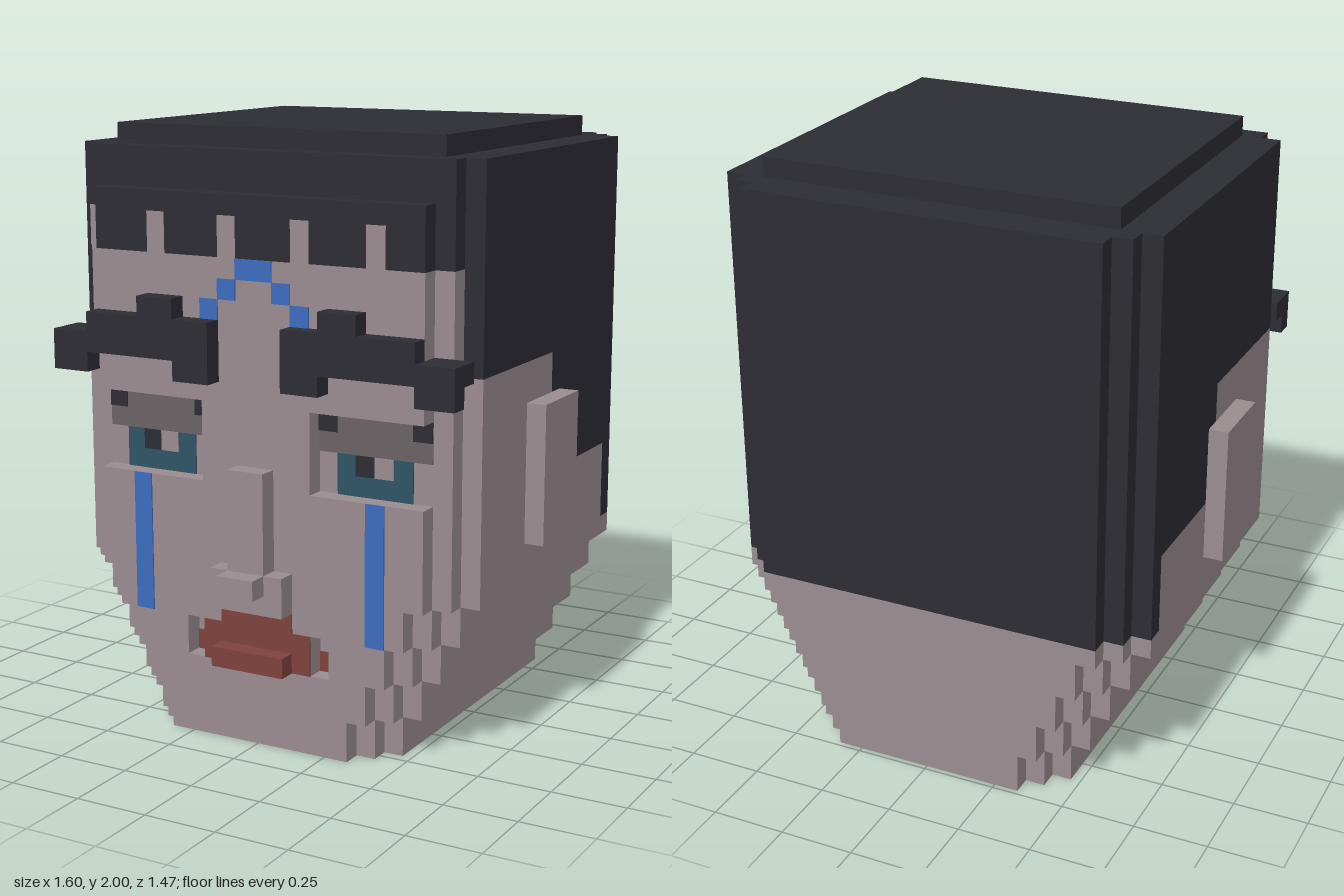
import * as THREE from 'three';

const U = 1 / 15; // one block
const T = 0.07;   // thickness of painted plates, in blocks

const paint = (name, color) => {
  const m = new THREE.MeshStandardMaterial({ color });
  m.name = name;
  return m;
};

export function createModel() {
  const skin = paint('skin', 0x998c90);
  const hair = paint('hair', 0x2c2c34);
  const lid = paint('eyelid', 0x6b6265);
  const iris = paint('iris', 0x2f5366);
  const blue = paint('blue', 0x3c6cbe);
  const lips = paint('lips', 0x7e423d);

  const root = new THREE.Group();
  root.name = 'blockHead';
  const groups = {};
  const part = (name) => {
    if (!groups[name]) {
      groups[name] = new THREE.Group();
      groups[name].name = name;
      root.add(groups[name]);
    }
    return groups[name];
  };

  // Box given by its limits in blocks
  const box = (name, mat, x0, x1, y0, y1, z0, z1) => {
    const g = new THREE.BoxGeometry((x1 - x0) * U, (y1 - y0) * U, (z1 - z0) * U);
    const m = new THREE.Mesh(g, mat);
    m.position.set((x0 + x1) / 2 * U, (y0 + y1) / 2 * U, (z0 + z1) / 2 * U);
    m.name = name;
    part(name).add(m);
  };
  const pair = (name, mat, x0, x1, ...rest) => {
    box(name, mat, x0, x1, ...rest);
    box(name, mat, -x1, -x0, ...rest);
  };
  // Thin painted plate on a front-facing plane
  const plate = (name, mat, x0, x1, y0, y1, z, lift = 1) =>
    box(name, mat, x0, x1, y0, y1, z, z + T * lift);

  // Jaw: layers that widen upwards, with stepped corners
  for (let i = 0; i < 4; i++) {
    const h = 7 + i, y = i * 2;
    box('jaw', skin, -h, h, y, y + 2, -9, 7);
    box('jaw', skin, 1 - h, h - 1, y, y + 2, -10, -9);
    box('jaw', skin, 1 - h, h - 1, y, y + 2, 7, 8);
    box('jaw', skin, 2 - h, h - 2, y, y + 2, -11, -10);
    if (i === 2) { // mouth row has sunken corners
      box('jaw', skin, -3, 3, y, y + 2, 8, 9);
      pair('jaw', skin, 4, 7, y, y + 2, 8, 9);
    } else box('jaw', skin, 2 - h, h - 2, y, y + 2, 8, 9);
  }

  // Upper head in slices from back to front: z0, z1, half width, hairline
  for (const [z0, z1, w, line] of [
    [-11, -10, 9, 9], [-10, -9, 10, 9], [-9, -8, 11, 9],
    [-8, -2, 11, 13], [-2, -1, 11, 17], [-1, 7, 11, 19], [7, 8, 10, 24],
  ]) {
    box('head', skin, -w, w, 8, line, z0, z1);
    box('hair', hair, -w, w, line, 29, z0, z1);
  }
  box('hair', hair, -9, 9, 29, 30, -9, 7);
  plate('temple', skin, -10, -9, 24, 26, 8);

  // Face slab with open eye sockets
  box('face', skin, -9, 9, 8, 13, 8, 9);
  box('face', skin, -3, 3, 13, 17, 8, 9);
  box('face', skin, -9, 9, 17, 24, 8, 9);

  // Fringe with narrow gaps
  box('fringe', hair, -9, 9, 26, 27, 8, 9);
  const gaps = [-6, -2, 2, 6];
  let start = -9;
  for (const g of gaps) {
    box('fringe', hair, start, g, 24, 26, 8, 9);
    box('face', skin, g, g + 1, 24, 26, 8, 9);
    start = g + 1;
  }
  box('fringe', hair, start, 9, 24, 26, 8, 9);

  // Ears
  pair('ears', skin, 11, 12, 10, 17, -2, 2);

  // Eyebrows
  pair('eyebrows', hair, 2, 9, 19, 21, 9, 10);
  pair('eyebrows', hair, 4, 6, 21, 22, 9, 10);
  pair('eyebrows', hair, 2, 4, 18, 19, 9, 10);
  pair('eyebrows', hair, 9, 11, 19, 20, 8, 10);
  pair('eyebrows', hair, 9, 11, 18, 19, 9, 10);

  // Eyes; both look the same way
  for (const [x, pupil] of [[-9, -7], [3, 5]]) {
    plate('eyelids', lid, x, x + 6, 15, 17, 8);
    plate('lashes', hair, x, x + 1, 16, 17, 8, 1.8);
    plate('lashes', hair, x + 5, x + 6, 16, 17, 8, 1.8);
    plate('irises', iris, x + 1, x + 5, 13, 15, 8);
    plate('pupils', hair, pupil, pupil + 1, 14, 15, 8, 1.8);
    plate('eyeGlints', skin, pupil + 1, pupil + 2, 14, 15, 8, 1.8);
  }

  // Nose
  box('nose', skin, -1, 1, 9, 14, 9, 10);
  box('nose', skin, -2, 2, 7, 9, 9, 10);
  box('nose', skin, -1, 1, 8, 9, 10, 11);

  // Mouth
  plate('mouth', lips, -2, 2, 6, 7, 9);
  plate('mouth', lips, -3, 3, 4, 6, 9);
  for (const x of [-4, 3]) plate('mouth', lips, x, x + 1, 4, 5, 8);
  box('mouth', lips, -2, 2, 4, 5, 9, 10);

  // Tear streaks
  for (const x of [-7, 6]) plate('tears', blue, x, x + 1, 6, 13, 9);

  // Forehead arch
  plate('foreheadMark', blue, -1, 1, 23, 24, 9);
  for (const [x, y] of [[1, 22], [2, 21]]) {
    plate('foreheadMark', blue, x, x + 1, y, y + 1, 9);
    plate('foreheadMark', blue, -x - 1, -x, y, y + 1, 9);
  }

  return root;
}
